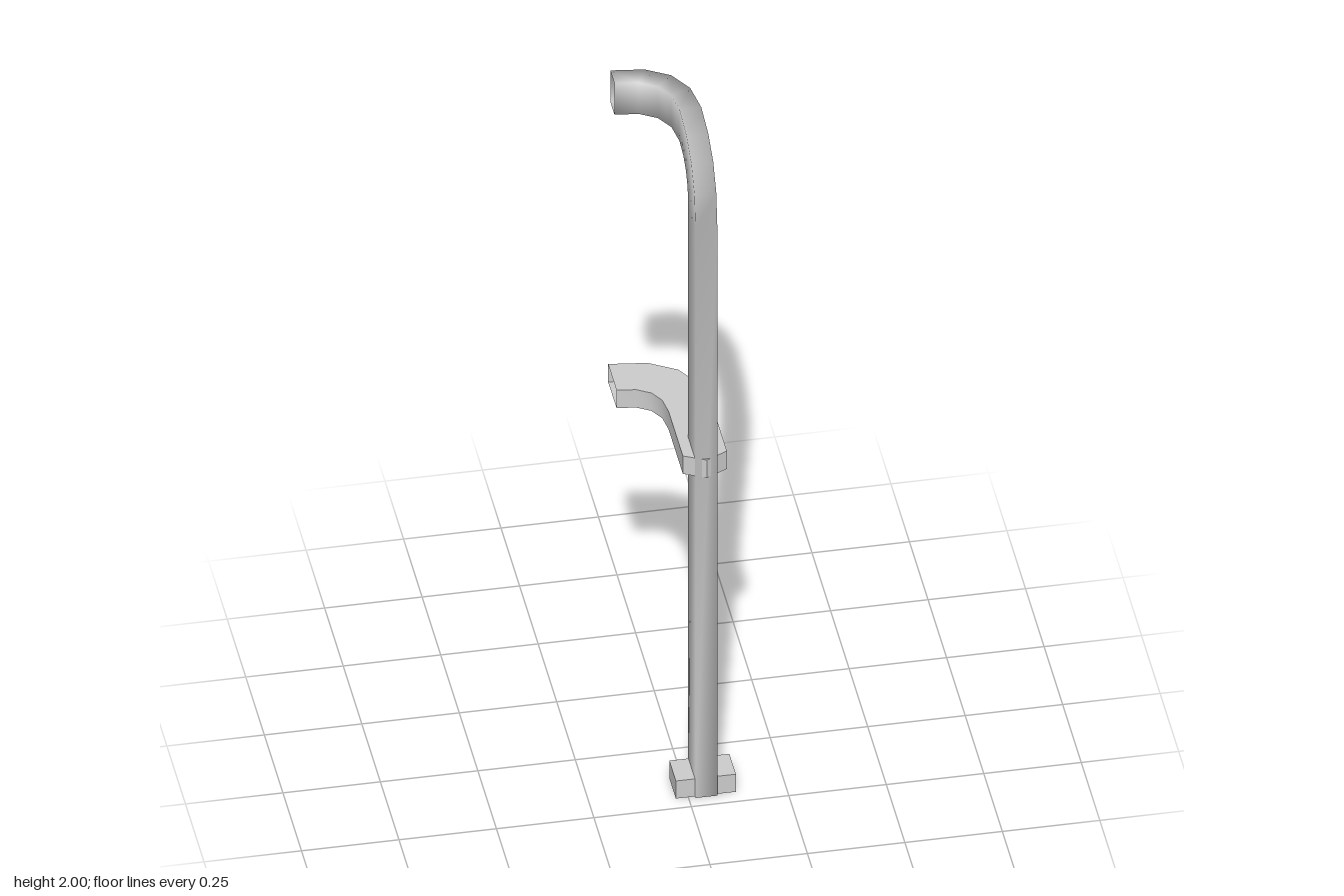
import * as THREE from 'three';
import { toCreasedNormals } from 'three/addons/utils/BufferGeometryUtils.js';

// The parts have open ends, so both sides are shown
const material = new THREE.MeshStandardMaterial({ color: 0xcccccc, side: THREE.DoubleSide });
const STEPS = 4;      // segments per quarter bend
const END_X = -0.123; // plane of the curved ends

// Quarter bend as a quadratic curve, from (1, 0) to (0, 1)
const bend = (t) => [1 - t * t, 2 * t - t * t];

function addPart(group, name, geometry) {
  const mesh = new THREE.Mesh(geometry, material);
  mesh.name = name;
  group.add(mesh);
}

// Removes the faces lying where the given axis has the given value, leaving an open end
function openFace(geometry, axis, value) {
  const source = geometry.index ? geometry.toNonIndexed() : geometry;
  const p = source.attributes.position;
  const tri = new THREE.Triangle();
  const kept = [];
  for (let i = 0; i < p.count; i += 3) {
    tri.setFromAttributeAndIndices(p, i, i + 1, i + 2);
    const points = [tri.a, tri.b, tri.c];
    if (points.every((v) => Math.abs(v[axis] - value) < 1e-4)) continue;
    for (const v of points) kept.push(v.x, v.y, v.z);
  }
  const result = new THREE.BufferGeometry();
  result.setAttribute('position', new THREE.Float32BufferAttribute(kept, 3));
  return toCreasedNormals(result, 0.7);
}

// Rectangular post: straight up, bent backwards, then bent sideways
function railGeometry() {
  const bendY = 1.784;
  // Each corner: [x, radius of the first bend]
  const corners = [[0.073, 0.118], [0.017, 0.118], [0.017, 0.216], [0.073, 0.216]];
  const rings = [corners.map(([x, r]) => [x, 0, r])];
  for (let i = 0; i <= STEPS; i++) {
    const [c, s] = bend(i / STEPS);
    rings.push(corners.map(([x, r]) => [x, bendY + r * s, r * c]));
  }
  for (let i = 1; i <= STEPS; i++) {
    const [c, s] = bend(i / STEPS);
    rings.push(corners.map(([x, r]) => [END_X + (x - END_X) * c, bendY + r, -(x - END_X) * s]));
  }
  // Shared vertices give the soft shading across the corners
  const index = [];
  for (let i = 0; i < rings.length - 1; i++) {
    for (let k = 0; k < 4; k++) {
      const a = i * 4 + k, b = i * 4 + ((k + 1) % 4);
      index.push(a, b, b + 4, a, b + 4, a + 4);
    }
  }
  const geometry = new THREE.BufferGeometry();
  geometry.setAttribute('position', new THREE.Float32BufferAttribute(rings.flat(2), 3));
  geometry.setIndex(index);
  geometry.computeVertexNormals();
  return geometry;
}

// Flat bracket with a pointed front and a curved arm, open at the end of the arm
function bracketGeometry() {
  const outer = 0.225, inner = 0.112;
  const arc = (r) => Array.from({ length: STEPS + 1 }, (_, i) => {
    const [c, s] = bend(i / STEPS);
    return new THREE.Vector2(END_X + r * c, r * s);
  });
  const outline = [
    new THREE.Vector2(END_X + inner, -0.193),
    new THREE.Vector2(0.045, -0.222),
    new THREE.Vector2(END_X + outer, -0.193),
    ...arc(outer),
    ...arc(inner).reverse(),
  ];
  const geometry = new THREE.ExtrudeGeometry(new THREE.Shape(outline), { depth: 0.056, bevelEnabled: false });
  geometry.rotateX(-Math.PI / 2).translate(0, 1.003, 0);
  return openFace(geometry, 'x', END_X);
}

// Foot block, open underneath
function footGeometry() {
  const geometry = new THREE.BoxGeometry(0.154, 0.055, 0.088).translate(0.045, 0.0275, 0.165);
  return openFace(geometry, 'y', 0);
}

export function createModel() {
  const group = new THREE.Group();
  group.name = 'bentRail';
  addPart(group, 'rail', railGeometry());
  addPart(group, 'bracket', bracketGeometry());
  addPart(group, 'foot', footGeometry());
  return group;
}
